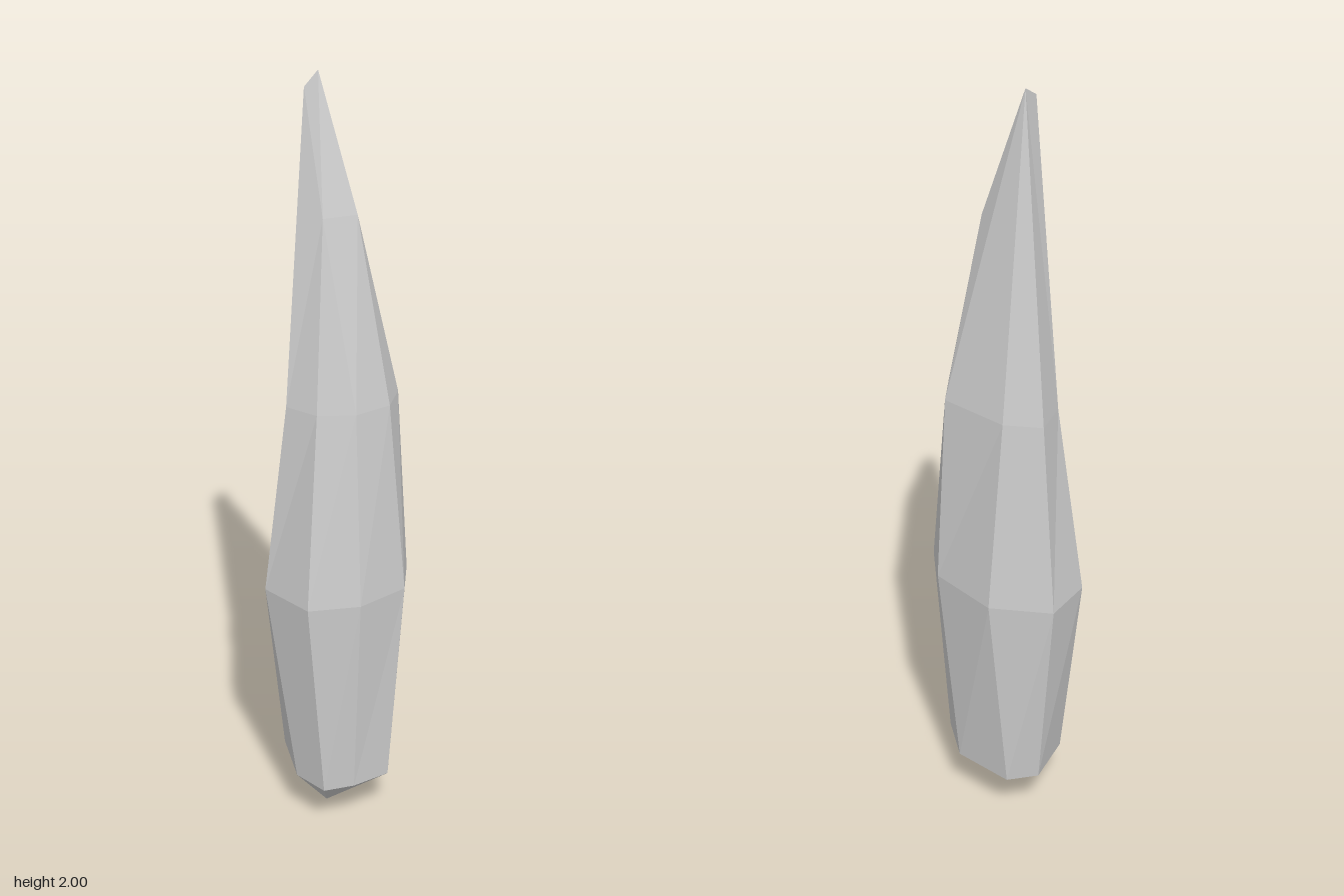
import * as THREE from 'three';

// Eight-sided cross-sections, each [x, z], running from the back round the left side
const rings = [
  { y: 0.14, pts: [[0.015, -0.15], [0.095, -0.125], [0.15, 0.03], [0.11, 0.155], [0.01, 0.18], [-0.07, 0.178], [-0.115, 0.09], [-0.1, -0.065]] },
  { y: 0.7, pts: [[0.015, -0.22], [0.143, -0.12], [0.185, 0.067], [0.143, 0.168], [0.012, 0.217], [-0.118, 0.198], [-0.186, 0.065], [-0.104, -0.158]] },
  { y: 1.2, pts: [[0.012, -0.16], [0.09, -0.1], [0.153, 0.072], [0.108, 0.14], [0.015, 0.165], [-0.075, 0.14], [-0.13, 0.072], [-0.063, -0.1]] },
];

export function createModel() {
  const group = new THREE.Group();
  const loops = rings.map(({ y, pts }) => pts.map(([x, z]) => [x, y, z]));
  const positions = [];
  const tri = (a, b, c) => positions.push(...a, ...b, ...c);

  // Pointed base
  const base = [-0.015, 0, 0.03];
  for (let i = 0; i < 8; i++) tri(base, loops[0][i], loops[0][(i + 1) % 8]);

  // Faceted shaft between the cross-sections
  for (let k = 0; k < 2; k++) {
    const lo = loops[k], hi = loops[k + 1];
    for (let i = 0; i < 8; i++) {
      const j = (i + 1) % 8;
      tri(lo[i], hi[i], lo[j]);
      tri(hi[i], hi[j], lo[j]);
    }
  }

  // Long tip: two front shoulders below a short, sloping crest
  const r = loops[2];
  const crest = [-0.022, 2, -0.01], crestSide = [-0.062, 1.97, 0.01];
  const left = [0.047, 1.67, 0.073], right = [-0.038, 1.67, 0.073];
  [
    [crest, r[0], r[1]], [crest, r[1], r[2]], [crest, r[2], left],
    [left, r[2], r[3]], [left, r[3], r[4]], [left, r[4], right],
    [right, r[4], r[5]], [right, r[5], r[6]], [right, r[6], crestSide],
    [crestSide, r[6], r[7]], [crestSide, r[7], crest], [crest, r[7], r[0]],
    [crest, left, right], [crest, right, crestSide],
  ].forEach(([a, b, c]) => tri(a, c, b));

  const geometry = new THREE.BufferGeometry();
  geometry.setAttribute('position', new THREE.Float32BufferAttribute(positions, 3));
  geometry.computeVertexNormals();
  const crystal = new THREE.Mesh(geometry, new THREE.MeshStandardMaterial({ color: 0xcccccc, flatShading: true }));
  crystal.name = 'crystalShard';
  group.add(crystal);
  return group;
}
